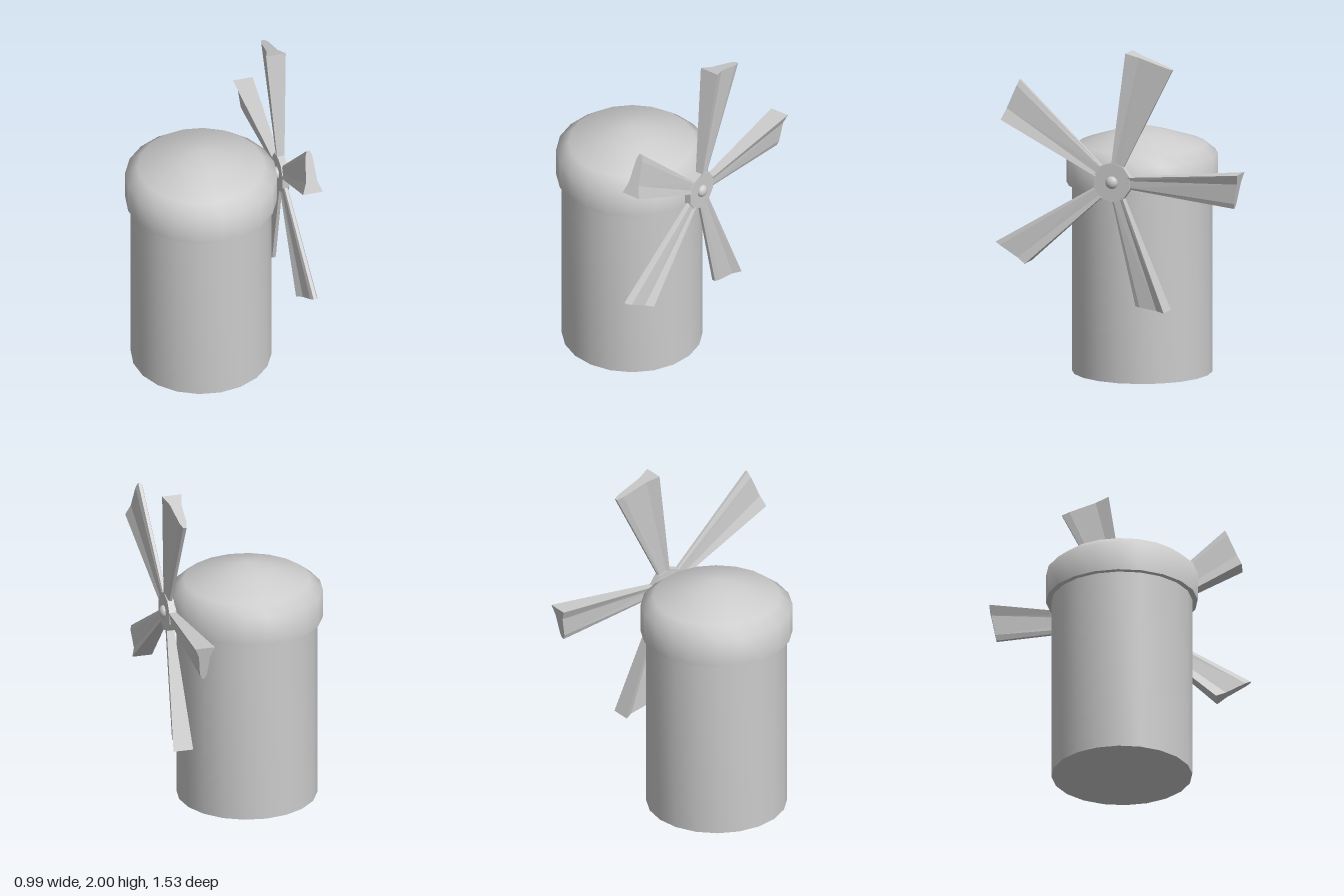
import * as THREE from 'three';
import { toCreasedNormals } from 'three/addons/utils/BufferGeometryUtils.js';

const CX = -0.055, CZ = 0.035;   // tower axis
const HX = 0.43, HY = 1.215;     // rotor centre, spinning about x

const smooth = new THREE.MeshStandardMaterial({ color: 0xcccccc });
const faceted = new THREE.MeshStandardMaterial({ color: 0xcccccc, flatShading: true });

function add(parent, name, geometry, material = smooth) {
  const mesh = new THREE.Mesh(geometry, material);
  mesh.name = name;
  parent.add(mesh);
  return mesh;
}

function lathe(profile) {
  const points = profile.map(([r, y]) => new THREE.Vector2(r, y));
  return toCreasedNormals(new THREE.LatheGeometry(points, 20), 1.2);
}

// Blade section: thin leading edge (s = 0) flaring to a wide trailing edge (s = 1)
const ACROSS = [0, 0.15, 0.72, 1];
const ROOT_HALF = [0.008, 0.013, 0.015, 0.022];
const TIP_HALF = [0.01, 0.022, 0.034, 0.06];

// Eight-point ring from leading corner a to trailing corner b, each [z, y]
function ring(a, b, half) {
  const side = (sign) => ACROSS.map((s, i) =>
    [sign * half[i], a[1] + (b[1] - a[1]) * s, a[0] + (b[0] - a[0]) * s]);
  return [...side(1), ...side(-1).reverse()];
}

function bladeGeometry(angle, lead, trail) {
  const c = Math.cos(angle), s = Math.sin(angle);
  const rootCorner = (t) => [-(0.1 * c - t * s), 0.1 * s + t * c];
  const root = ring(rootCorner(-0.036), rootCorner(0.036), ROOT_HALF);
  const tip = ring(lead, trail, TIP_HALF);
  const pos = [];
  const quad = (p, q, r, t) => pos.push(...p, ...q, ...r, ...p, ...r, ...t);
  for (let i = 0; i < 8; i++) {
    const j = (i + 1) % 8;
    quad(root[i], tip[i], tip[j], root[j]);
  }
  // End caps
  for (let i = 0; i < 3; i++) {
    quad(tip[7 - i], tip[6 - i], tip[i + 1], tip[i]);
    quad(root[i], root[i + 1], root[6 - i], root[7 - i]);
  }
  const g = new THREE.BufferGeometry();
  g.setAttribute('position', new THREE.Float32BufferAttribute(pos, 3));
  g.computeVertexNormals();
  return g;
}

// Tip corners [z, y] of each blade, measured from the rotor centre
const TIPS = [
  { lead: [-0.76, -0.105], trail: [-0.80, 0.105] },
  { lead: [-0.375, 0.695], trail: [-0.10, 0.785] },
  { lead: [0.58, 0.575], trail: [0.68, 0.335] },
  { lead: [0.73, -0.405], trail: [0.53, -0.515] },
  { lead: [-0.145, -0.73], trail: [-0.34, -0.75] },
];

export function createModel() {
  const model = new THREE.Group();
  model.name = 'windmill';

  // Tower and overhanging domed cap
  const building = new THREE.Group();
  building.name = 'building';
  building.position.set(CX, 0, CZ);
  model.add(building);
  add(building, 'tower', lathe([[0, 0], [0.413, 0], [0.413, 1.2], [0, 1.2]]));
  add(building, 'roof', lathe([
    [0, 1.125], [0.445, 1.125], [0.445, 1.3], [0.372, 1.36], [0.16, 1.428], [0, 1.47],
  ]));

  // Rotor with hub, axle and five blades
  const rotor = new THREE.Group();
  rotor.name = 'rotor';
  rotor.position.set(HX, HY, CZ);
  model.add(rotor);
  const hub = add(rotor, 'hub', new THREE.CylinderGeometry(0.118, 0.118, 0.04, 10), faceted);
  hub.rotation.set(Math.PI / 10, 0, Math.PI / 2);
  const axle = add(rotor, 'axle', new THREE.CylinderGeometry(0.037, 0.037, 0.16, 16));
  axle.rotation.z = Math.PI / 2;
  axle.position.x = -0.055;
  const knob = add(rotor, 'axleKnob', new THREE.SphereGeometry(0.038, 16, 12));
  knob.scale.x = 0.75;
  knob.position.x = 0.02;
  TIPS.forEach(({ lead, trail }, i) =>
    add(rotor, 'blade', bladeGeometry(i * Math.PI * 2 / 5, lead, trail), faceted));

  return model;
}
